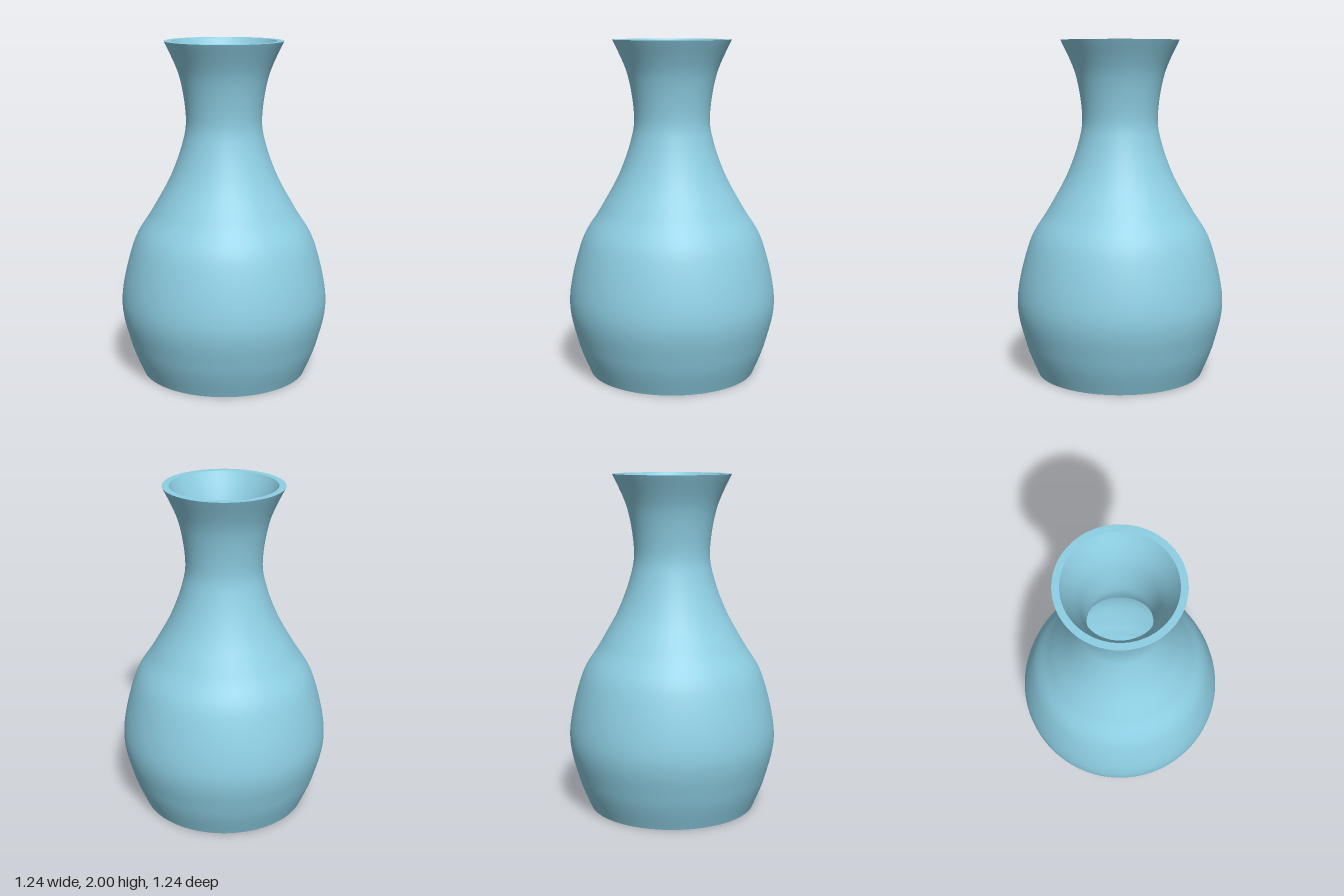
import * as THREE from 'three';

const WALL = 0.04;
const SEGMENTS = 128;

export function createModel() {
  const vase = new THREE.Group();
  vase.name = 'vase';
  const material = new THREE.MeshStandardMaterial({ color: 0x8ecfe4 });

  // Each surface is its own lathe, so the edges between them stay sharp.
  function addLathe(name, points) {
    const mesh = new THREE.Mesh(new THREE.LatheGeometry(points, SEGMENTS), material);
    mesh.name = name;
    vase.add(mesh);
  }
  const v = (x, y) => new THREE.Vector2(x, y);

  // Outer silhouette: foot, belly, shoulder, throat, lip
  const outer = new THREE.SplineCurve([
    v(0.5, 0), v(0.576, 0.2), v(0.621, 0.46), v(0.545, 0.8), v(0.43, 1.0),
    v(0.32, 1.2), v(0.247, 1.4), v(0.225, 1.56), v(0.263, 1.8), v(0.35, 2),
  ]).getPoints(72);

  // Inner silhouette: the same curve moved inward, starting at the floor
  const inner = outer.filter((p) => p.y >= WALL).map((p) => v(p.x - WALL, p.y));
  inner[0].y = WALL;

  addLathe('outerWall', outer);
  addLathe('rim', [outer.at(-1), inner.at(-1)]);
  addLathe('innerWall', inner.slice().reverse());
  addLathe('innerFloor', [inner[0], v(0, WALL)]);
  addLathe('base', [v(0, 0), outer[0]]);
  return vase;
}
